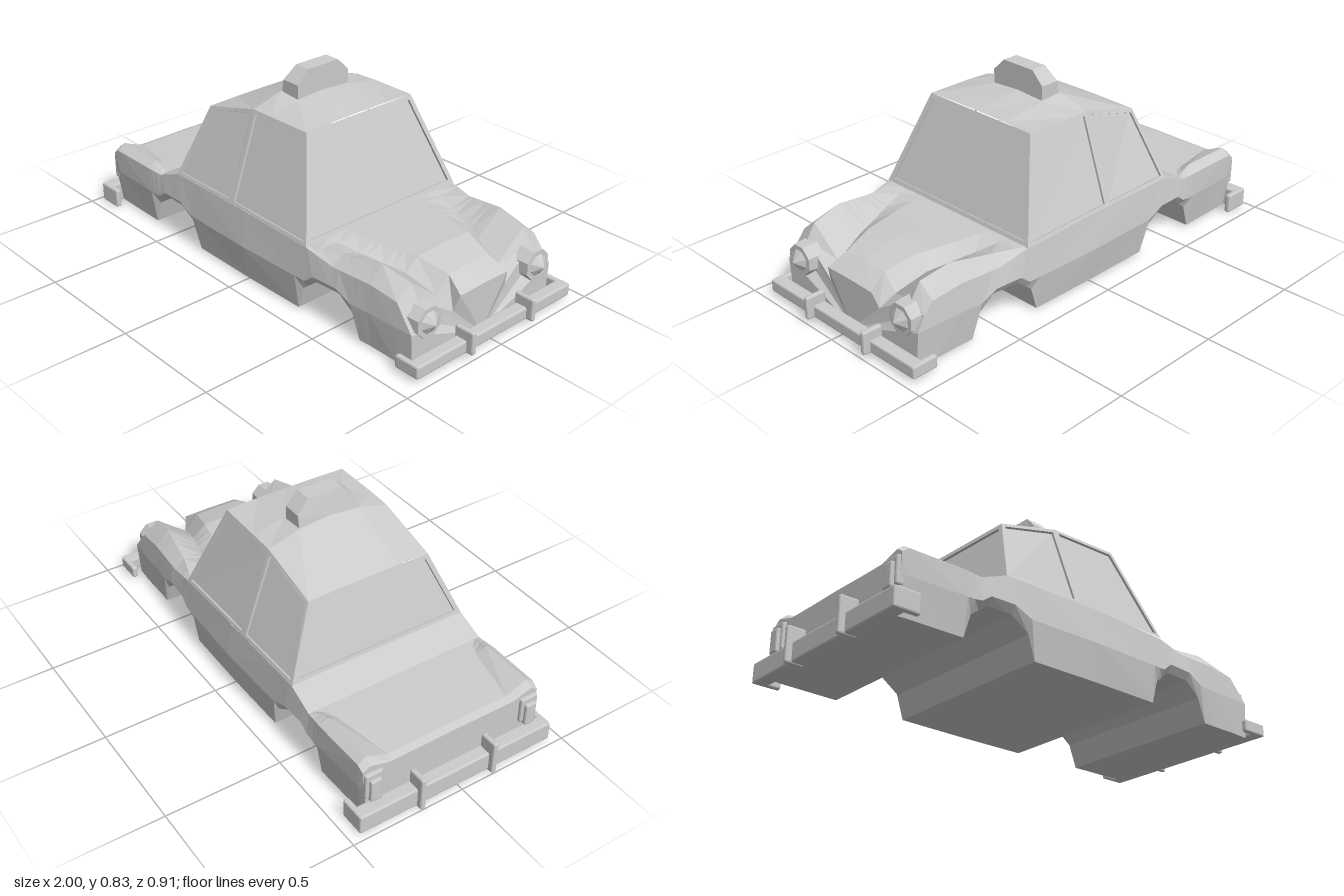
import * as THREE from 'three';
import { RoundedBoxGeometry } from 'three/addons/geometries/RoundedBoxGeometry.js';

const material = new THREE.MeshStandardMaterial({ color: 0xcccccc, flatShading: true });

function add(parent, name, geometry) {
  const mesh = new THREE.Mesh(geometry, material);
  mesh.name = name;
  parent.add(mesh);
  return mesh;
}

// Faceted geometry from a list of triangle corner points
function faceted(points) {
  const g = new THREE.BufferGeometry().setFromPoints(points);
  g.computeVertexNormals();
  return g;
}

// Box given by its minimum and maximum corners
function block(parent, name, [x0, y0, z0], [x1, y1, z1]) {
  const mesh = add(parent, name, new RoundedBoxGeometry(x1 - x0, y1 - y0, z1 - z0, 1, 0.007));
  mesh.position.set((x0 + x1) / 2, (y0 + y1) / 2, (z0 + z1) / 2);
}

// Linear interpolation in rows keyed by their first number
function sample(rows, x) {
  let i = 0;
  while (i < rows.length - 2 && x > rows[i + 1][0]) i++;
  const t = (x - rows[i][0]) / (rows[i + 1][0] - rows[i][0]);
  return rows[i].map((v, k) => THREE.MathUtils.lerp(v, rows[i + 1][k], t));
}

// Underside with the two wheel arches: x, y
const floor = [[-0.92, 0.01], [-0.635, 0.01], [-0.605, 0.11], [-0.53, 0.165], [-0.42, 0.165],
  [-0.34, 0.11], [-0.31, 0.01], [0.31, 0.01], [0.34, 0.11], [0.41, 0.165], [0.53, 0.165],
  [0.6, 0.11], [0.635, 0.01], [0.9, 0.01]];

// x, sill z, waist z, then y/z of shoulder, fender crest, valley, bonnet edge, and centre y
const shell = [
  [-0.92, 0.385, 0.405, 0.245, 0.41, 0.265, 0.38, 0.24, 0.29, 0.24, 0.15, 0.242],
  [-0.89, 0.39, 0.41, 0.265, 0.412, 0.29, 0.375, 0.25, 0.28, 0.25, 0.15, 0.252],
  [-0.65, 0.395, 0.418, 0.265, 0.415, 0.29, 0.375, 0.262, 0.33, 0.262, 0.2, 0.263],
  [-0.57, 0.395, 0.42, 0.262, 0.41, 0.265, 0.385, 0.265, 0.36, 0.265, 0.2, 0.265],
  [-0.45, 0.4, 0.422, 0.31, 0.408, 0.312, 0.4, 0.314, 0.37, 0.315, 0.2, 0.315],
  [0, 0.405, 0.43, 0.312, 0.41, 0.315, 0.39, 0.315, 0.35, 0.315, 0.2, 0.315],
  [0.365, 0.4, 0.42, 0.298, 0.405, 0.302, 0.39, 0.302, 0.3, 0.302, 0.2, 0.302],
  [0.5, 0.39, 0.41, 0.27, 0.395, 0.31, 0.35, 0.28, 0.26, 0.3, 0.18, 0.302],
  [0.69, 0.38, 0.395, 0.275, 0.385, 0.34, 0.325, 0.25, 0.2, 0.3, 0.14, 0.305],
  [0.82, 0.38, 0.39, 0.26, 0.38, 0.312, 0.31, 0.2, 0.17, 0.268, 0.11, 0.272],
  [0.9, 0.375, 0.385, 0.21, 0.375, 0.25, 0.31, 0.15, 0.145, 0.22, 0.13, 0.222]];

function bodyGeometry() {
  const stations = [...new Set([...floor, ...shell].map(r => r[0]))].sort((a, b) => a - b);
  const rings = stations.map(x => {
    const yb = sample(floor, x)[1];
    const [, w0, w1, ys, zs, yf, zf, yv, zv, yh, zh, yc] = sample(shell, x);
    const nose = x > 0.89 ? 1 : 0; // fender fronts lean back
    const half = [[x, yb, w0], [x, Math.max(0.16, yb + 0.03), w1], [x - 0.04 * nose, ys, zs],
      [x - 0.04 * nose, yf, zf], [x - 0.02 * nose, yv, zv], [x, yh, zh]];
    const mirrored = half.map(([a, b, c]) => [a, b, -c]).reverse();
    return [[x, yb, 0], ...half, [x, yc, 0], ...mirrored].map(p => new THREE.Vector3(...p));
  });
  const tris = [];
  const n = rings[0].length;
  for (let s = 0; s < rings.length - 1; s++) {
    const a = rings[s], b = rings[s + 1];
    for (let i = 0; i < n; i++) {
      const j = (i + 1) % n;
      // split the quads symmetrically on both sides
      if (i < n / 2) tris.push(a[i], b[i], a[j], a[j], b[i], b[j]);
      else tris.push(a[i], b[i], b[j], a[i], b[j], a[j]);
    }
  }
  const tail = rings[0], nose = rings[rings.length - 1];
  for (let i = 1; i < n - 1; i++) {
    tris.push(tail[0], tail[i], tail[i + 1], nose[0], nose[i + 1], nose[i]);
  }
  return faceted(tris);
}

// Window: frame around a recessed pane, corners counter-clockwise from outside
function framedPane(corners, border = 0.02, depth = 0.01) {
  const outer = corners.map(p => new THREE.Vector3(...p));
  const normal = outer[2].clone().sub(outer[0]).cross(outer[3].clone().sub(outer[1])).normalize();
  const inner = outer.map((p, i) => {
    const u = outer[(i + 1) % 4].clone().sub(p).normalize();
    const v = outer[(i + 3) % 4].clone().sub(p).normalize();
    const k = border / u.clone().cross(v).length();
    return p.clone().addScaledVector(u, k).addScaledVector(v, k);
  });
  const pane = inner.map(p => p.clone().addScaledVector(normal, -depth));
  const tris = [];
  const quad = (a, b, c, d) => tris.push(a, b, c, a, c, d);
  for (let i = 0; i < 4; i++) {
    const j = (i + 1) % 4;
    quad(outer[i], outer[j], inner[j], inner[i]);
    quad(inner[i], inner[j], pane[j], pane[i]);
  }
  quad(...pane);
  return faceted(tris);
}

// Roof: x, edge y, crown y
function roofGeometry() {
  const rows = [[-0.37, 0.61, 0.615], [-0.09, 0.685, 0.735], [0.02, 0.69, 0.722], [0.225, 0.69, 0.695]];
  const grid = rows.map(([x, e, c]) => [-0.28, -0.14, 0, 0.14, 0.28].map(z =>
    new THREE.Vector3(x, e + (c - e) * (1 - (z / 0.28) ** 2), z)));
  const tris = [];
  for (let r = 0; r < 3; r++) for (let k = 0; k < 4; k++) {
    const a = grid[r][k], b = grid[r][k + 1], c = grid[r + 1][k + 1], d = grid[r + 1][k];
    tris.push(a, b, c, a, c, d);
  }
  return faceted(tris);
}

// Roof sign: chamfered slab whose rear face leans forward
function signGeometry() {
  const shape = new THREE.Shape([[-0.135, 0.69], [0.135, 0.69], [0.135, 0.775], [0.08, 0.83],
    [-0.08, 0.83], [-0.135, 0.775]].map(p => new THREE.Vector2(...p)));
  const g = new THREE.ExtrudeGeometry(shape, { depth: 0.1, bevelEnabled: false });
  g.rotateY(Math.PI / 2).translate(-0.09, 0, 0);
  const p = g.attributes.position;
  for (let i = 0; i < p.count; i++) {
    if (p.getX(i) < -0.05) p.setX(i, -0.09 + Math.max(0, p.getY(i) - 0.72) * 0.25);
  }
  g.computeVertexNormals();
  return g;
}

export function createModel() {
  const car = new THREE.Group();
  car.name = 'car';
  add(car, 'body', bodyGeometry());

  // Cabin
  const cabin = new THREE.Group();
  cabin.name = 'cabin';
  car.add(cabin);
  add(cabin, 'roof', roofGeometry());
  add(cabin, 'roofSign', signGeometry());
  add(cabin, 'windscreen', framedPane([[0.365, 0.3, 0.408], [0.365, 0.3, -0.408], [0.225, 0.69, -0.28], [0.225, 0.69, 0.28]]));
  add(cabin, 'rearWindow', framedPane([[-0.45, 0.31, -0.408], [-0.45, 0.31, 0.408], [-0.37, 0.61, 0.28], [-0.37, 0.61, -0.28]]));
  const frontSide = [[-0.09, 0.31, 0.41], [0.365, 0.3, 0.408], [0.225, 0.69, 0.28], [-0.09, 0.685, 0.28]];
  const rearSide = [[-0.45, 0.31, 0.408], [-0.09, 0.31, 0.41], [-0.09, 0.685, 0.28], [-0.37, 0.61, 0.28]];
  const mirror = quad => quad.map(([x, y, z]) => [x, y, -z]).reverse();
  for (const [name, quad] of [['frontSideWindow', frontSide], ['rearSideWindow', rearSide]]) {
    add(cabin, name, framedPane(quad, 0.016));
    add(cabin, name, framedPane(mirror(quad), 0.016));
  }

  for (const s of [-1, 1]) {
    // Headlights: octagonal rim with a pointed lens
    const rim = new THREE.CylinderGeometry(0.066, 0.073, 0.08, 8).rotateY(Math.PI / 8).rotateZ(-Math.PI / 2);
    add(car, 'headlightRim', rim).position.set(0.87, 0.185, s * 0.3);
    const lens = new THREE.ConeGeometry(0.05, 0.035, 8).rotateY(Math.PI / 8).rotateZ(-Math.PI / 2);
    add(car, 'headlightLens', lens).position.set(0.925, 0.185, s * 0.3);
    // Stacked tail lights
    const z = s * 0.365;
    block(car, 'tailLight', [-0.935, 0.12, z - 0.04], [-0.9, 0.235, z + 0.04]);
    block(car, 'tailLightLens', [-0.95, 0.11, z - 0.025], [-0.9, 0.21, z + 0.025]);
  }

  // Front bumper with wrapped ends and overriders
  block(car, 'frontBumper', [0.915, 0.02, -0.437], [0.97, 0.073, 0.42]);
  for (const z of [-0.437, 0.395]) block(car, 'frontBumperEnd', [0.855, 0.02, z], [0.95, 0.073, z + 0.025]);
  for (const z of [-0.185, 0.153]) block(car, 'frontOverrider', [0.91, 0.02, z - 0.011], [1, 0.117, z + 0.011]);

  // Rear bumper
  block(car, 'rearBumper', [-0.975, 0.005, -0.454], [-0.915, 0.088, 0.454]);
  for (const z of [-0.454, 0.429]) block(car, 'rearBumperEnd', [-0.95, 0.005, z], [-0.862, 0.088, z + 0.025]);
  for (const z of [-0.185, 0.155]) block(car, 'rearOverrider', [-1, 0, z - 0.011], [-0.92, 0.15, z + 0.011]);
  return car;
}
